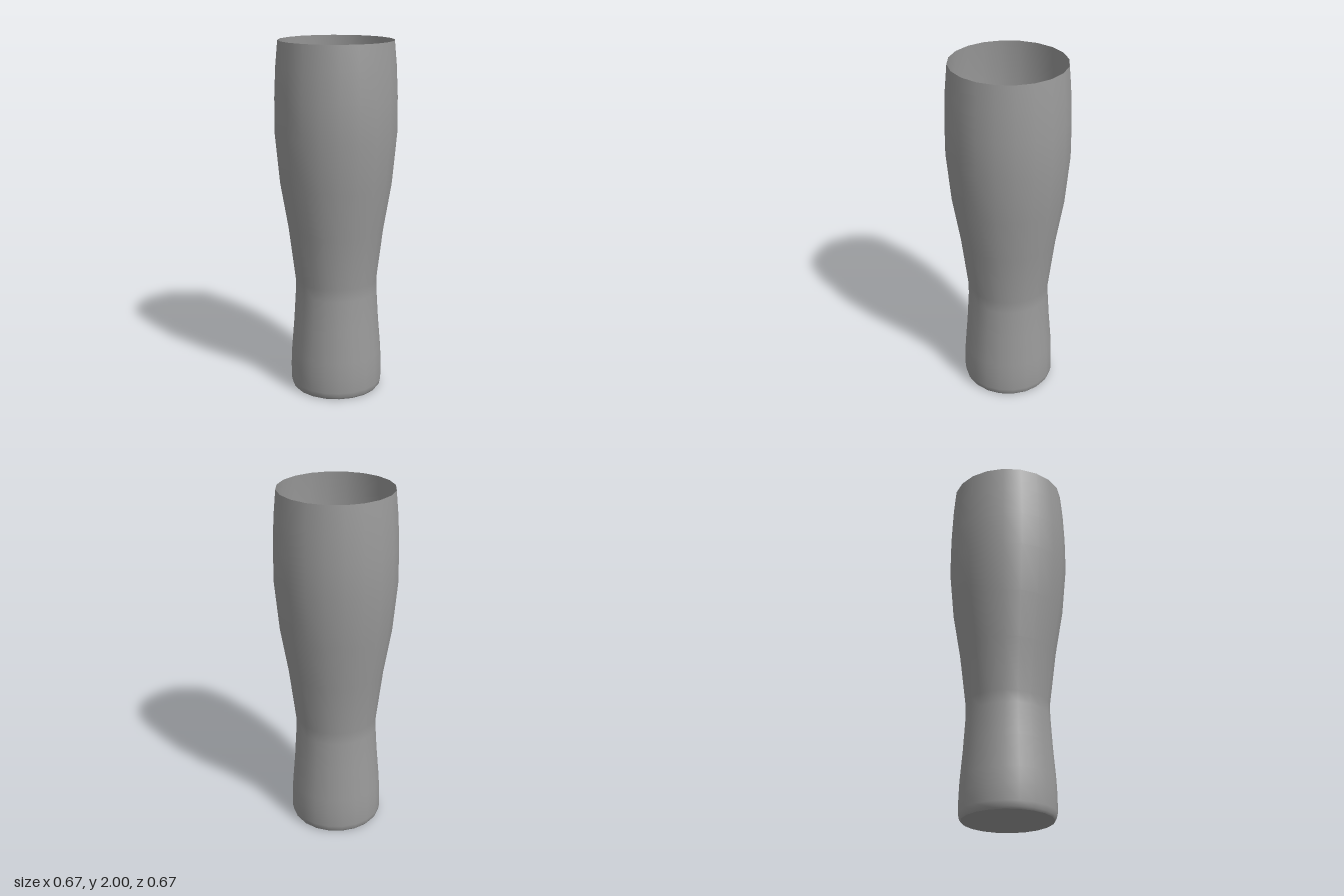
import * as THREE from 'three';

const SIDES = 20;
const TURN = THREE.MathUtils.degToRad(10);

export function createModel() {
  const group = new THREE.Group();
  group.name = 'tallBeerGlass';
  const material = new THREE.MeshStandardMaterial({ color: 0x9a9a9a, side: THREE.DoubleSide });

  // Revolve a [radius, height] profile around the y axis
  const revolve = (name, profile) => {
    const points = profile.map(([r, y]) => new THREE.Vector2(r, y));
    const mesh = new THREE.Mesh(new THREE.LatheGeometry(points, SIDES, TURN, Math.PI * 2), material);
    mesh.name = name;
    group.add(mesh);
  };

  // Thin open wall: rounded foot, narrow waist, swelling bowl, slightly closed rim
  revolve('wall', [
    [0.248, 0], [0.257, 0.012], [0.263, 0.04], [0.263, 0.13], [0.259, 0.22],
    [0.244, 0.4], [0.233, 0.58], [0.233, 0.65], [0.27, 0.95], [0.314, 1.21],
    [0.34, 1.49], [0.339, 1.69], [0.331, 1.86], [0.318, 2],
  ]);

  // Flat bottom, also seen from inside as the floor
  revolve('bottom', [[0, 0], [0.248, 0]]);

  return group;
}
